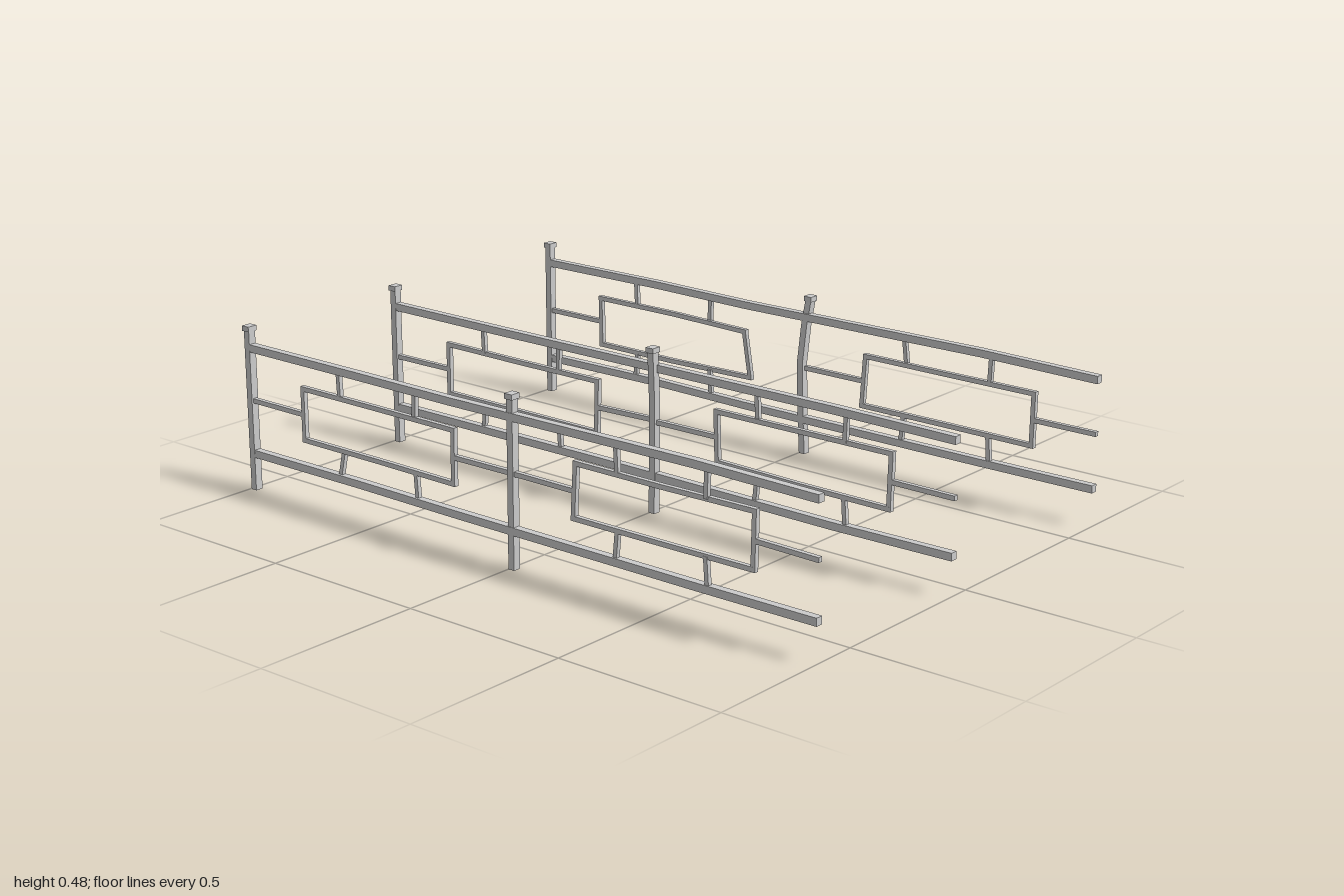
import * as THREE from 'three';

const material = new THREE.MeshStandardMaterial({ color: 0xcccccc, flatShading: true });

// Square bar lofted through points [x, y, z] running towards +x or +y;
// its sections stay upright (axis 'x') or level (axis 'y').
function bar(name, axis, points, w, d = w) {
  const pos = [], idx = [];
  const square = [[-1, -1], [1, -1], [1, 1], [-1, 1]];
  for (const [x, y, z] of points) {
    for (const [a, b] of square) {
      if (axis === 'x') pos.push(x, y + a * w / 2, z + b * d / 2);
      else pos.push(x + b * w / 2, y, z + a * d / 2);
    }
  }
  for (let i = 0; i < points.length - 1; i++) {
    for (let k = 0; k < 4; k++) {
      const a = i * 4 + k, b = i * 4 + (k + 1) % 4;
      idx.push(a, b, b + 4, a, b + 4, a + 4);
    }
  }
  const e = (points.length - 1) * 4;
  idx.push(0, 2, 1, 0, 3, 2, e, e + 1, e + 2, e, e + 2, e + 3);
  const g = new THREE.BufferGeometry();
  g.setAttribute('position', new THREE.Float32BufferAttribute(pos, 3));
  g.setIndex(idx);
  const flat = g.toNonIndexed();
  flat.computeVertexNormals();
  const mesh = new THREE.Mesh(flat, material);
  mesh.name = name;
  return mesh;
}

const POSTS = [-0.986, 0.01];
const TOP = 0.419, LOW = 0.109, MID = 0.265;
const F_TOP = 0.34, F_LOW = 0.191, F_HALF = 0.288;

// Each fence: its z, the bend of its middle post [y, dx, dz], the bow of its rails,
// z kicks of single struts and stubs (null: stub missing), and dz for the frame
// corners of both bays [lowLeft, lowRight, topRight, topLeft].
const FENCES = [
  {
    z: 0.628, post: [[0, 0, 0], [0.25, 0.002, 0], [0.468, 0.003, 0]],
    bow: [0, 0.002, 0.003, -0.002, 0], lowerKick: -0.011, upperKick: 0, stubKick: 0,
    corners: [[0, 0.004, 0.002, 0], [0.001, -0.004, -0.008, 0]]
  },
  {
    z: 0.058, post: [[0, -0.002, 0], [0.2, 0, 0], [0.34, 0.004, 0.005], [0.468, 0.008, 0.016]],
    bow: [0, 0.003, -0.003, 0.002, 0], lowerKick: 0, upperKick: 0, stubKick: -0.013,
    corners: [[-0.003, 0.003, -0.002, -0.004], [-0.012, 0.002, -0.004, 0.004]]
  },
  {
    z: -0.62, post: [[0, 0.001, -0.007], [0.12, 0, 0.001], [0.28, -0.001, 0.007], [0.4, 0.007, -0.001], [0.468, 0.015, -0.008]],
    bow: [0, -0.004, 0.004, -0.003, 0], lowerKick: 0, upperKick: -0.008, stubKick: null,
    corners: [[-0.002, -0.014, 0.016, 0.001], [0, 0.003, 0, -0.002]]
  }
];

function createFence({ z, post, bow, lowerKick, upperKick, stubKick, corners }) {
  const fence = new THREE.Group();
  fence.name = 'fence';

  // posts with slightly wider caps
  POSTS.forEach((x, i) => {
    const path = i ? post : [[0, 0, 0], [0.468, 0, 0]];
    fence.add(bar('post', 'y', path.map(([y, dx, dz]) => [x + dx, y, z + dz]), 0.02, 0.023));
    const [, dx, dz] = path[path.length - 1];
    const cap = new THREE.Mesh(new THREE.BoxGeometry(0.026, 0.015, 0.03), material);
    cap.position.set(x + dx, 0.4745, z + dz);
    cap.name = 'postCap';
    fence.add(cap);
  });

  // long rails with a gentle bow
  const xs = [-0.986, -0.55, -0.2, 0.62, 1];
  const rails = [
    ['topRail', TOP, [0, 0.001, 0, 0.004, 0]],
    ['bottomRail', LOW, [0, 0.002, 0, -0.003, 0]]
  ];
  for (const [name, y, dy] of rails) {
    fence.add(bar(name, 'x', xs.map((x, i) => [x, y + dy[i], z + bow[i]]), 0.022));
  }

  POSTS.forEach((start, bay) => {
    const c = start + 0.502, l = c - F_HALF, r = c + F_HALF;
    const [ll, lr, tr, tl] = corners[bay].map(d => z + d);
    const skew = bay ? 0.008 : 0;
    const end = bay ? 1 : 0.01;

    // rectangular frame
    const t = 0.0135;
    fence.add(
      bar('frameTop', 'x', [[l - t / 2 + skew, F_TOP, tl], [c, F_TOP, z], [r + t / 2, F_TOP, tr]], t),
      bar('frameBottom', 'x', [[l - t / 2, F_LOW, ll], [c, F_LOW, z], [r + t / 2, F_LOW, lr]], t),
      bar('frameLeft', 'y', [[l, F_LOW, ll], [l + skew, F_TOP, tl]], t),
      bar('frameRight', 'y', [[r, F_LOW, lr], [r, F_TOP, tr]], t)
    );

    // stubs joining the frame to the posts
    fence.add(bar('leftStub', 'x', [[start, MID, z], [l + skew / 2, MID, (ll + tl) / 2]], 0.0135));
    if (bay || stubKick !== null) {
      const kick = bay ? 0 : stubKick;
      fence.add(bar('rightStub', 'x', [[r, MID, (lr + tr) / 2], [end, MID, z + kick]], 0.0135));
    }

    // short struts between frame and rails
    for (const s of [-1, 1]) {
      const x = c + s * 0.146;
      const low = !bay && s < 0 ? lowerKick : 0;
      const up = bay && s < 0 ? upperKick : 0;
      const lean = s < 0 ? 0.004 : -0.003;
      fence.add(
        bar('upperStrut', 'y', [[x + lean, F_TOP, z + up], [x, TOP, z]], 0.0125),
        bar('lowerStrut', 'y', [[x - lean, LOW, z], [x + lean, F_LOW, z + low]], 0.0125)
      );
    }
  });
  return fence;
}

export function createModel() {
  const model = new THREE.Group();
  model.name = 'fences';
  FENCES.forEach(spec => model.add(createFence(spec)));
  return model;
}
